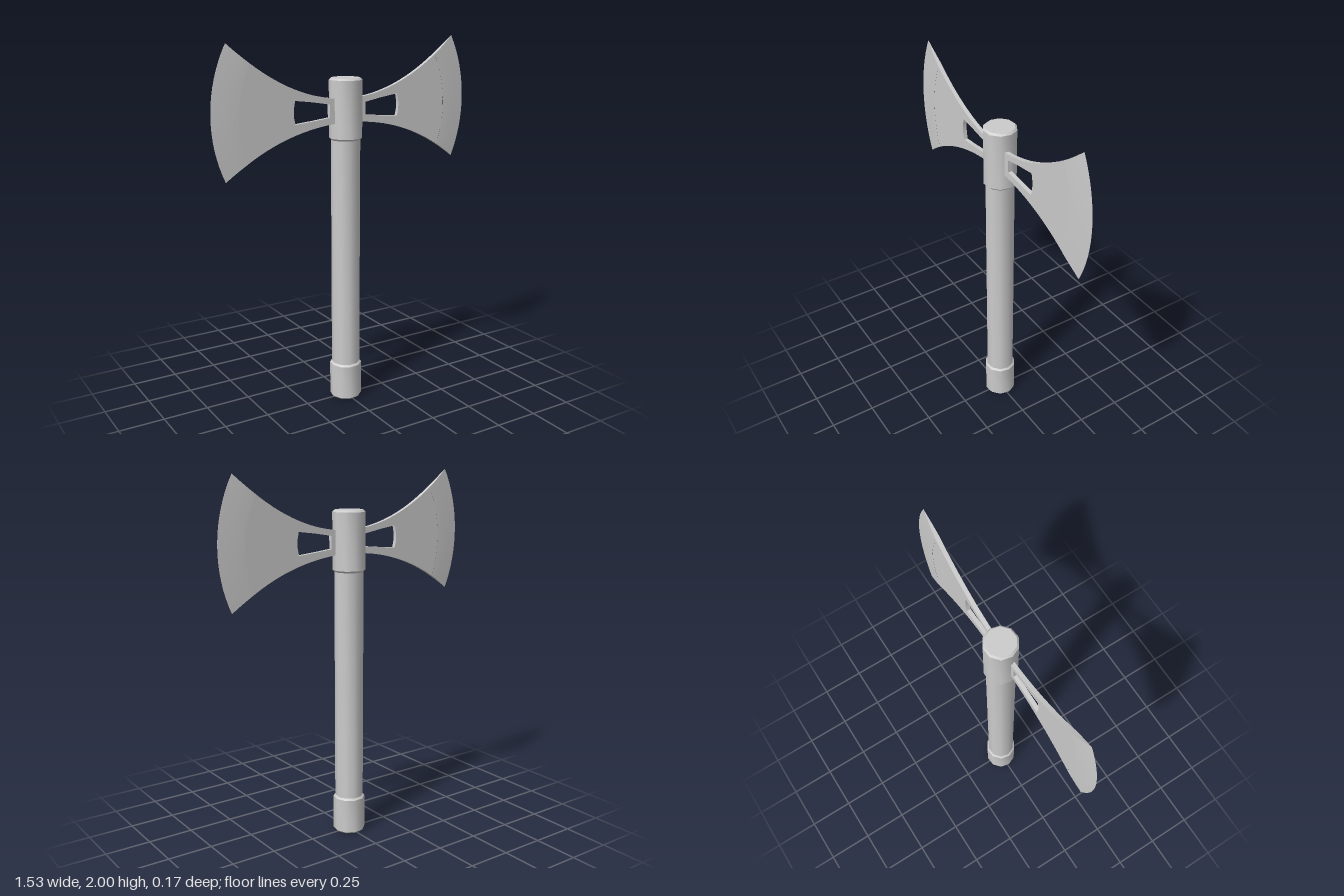
import * as THREE from 'three';
import { toCreasedNormals } from 'three/addons/utils/BufferGeometryUtils.js';

const material = new THREE.MeshStandardMaterial({ color: 0xcccccc });
const SIDES = 10;
const HALF = 0.011; // half blade thickness
const HUB_Y = 1.635; // centre height of the cutting arc
const BLEND = 0.8; // where the blade starts to thin towards its edge
const ROWS = 16;

const v2 = (x, y) => new THREE.Vector2(x, y);
const topCurve = new THREE.QuadraticBezierCurve(v2(0.07, 1.7), v2(0.38, 1.73), v2(0.677, 2));
const bottomCurve = new THREE.QuadraticBezierCurve(v2(0.07, 1.57), v2(0.42, 1.545), v2(0.7, 1.325));

function addMesh(parent, name, geometry) {
  const mesh = new THREE.Mesh(geometry, material);
  mesh.name = name;
  parent.add(mesh);
  return mesh;
}

// Closed round section with chamfered ends
function turned(radius, y0, y1, chamfer) {
  const profile = [
    v2(0, y0), v2(radius - chamfer, y0), v2(radius, y0 + chamfer),
    v2(radius, y1 - chamfer), v2(radius - chamfer, y1), v2(0, y1),
  ];
  return toCreasedNormals(new THREE.LatheGeometry(profile, SIDES), 0.7);
}

// Arc of points from the lower to the upper outline at curve parameter t
function arcAt(t) {
  const [low, high] = [bottomCurve, topCurve].map((curve) => {
    const p = curve.getPoint(t);
    return { r: Math.hypot(p.x, p.y - HUB_Y), a: Math.atan2(p.y - HUB_Y, p.x) };
  });
  return Array.from({ length: ROWS + 1 }, (_, j) => {
    const k = j / ROWS;
    const r = THREE.MathUtils.lerp(low.r, high.r, k);
    const a = THREE.MathUtils.lerp(low.a, high.a, k);
    return v2(r * Math.cos(a), HUB_Y + r * Math.sin(a));
  });
}

// Flat inner part of the blade with its window
function bladeBody() {
  const lower = [], upper = [];
  for (let i = 0; i < 14; i++) {
    const t = (BLEND * i) / 14;
    lower.push(bottomCurve.getPoint(t));
    upper.unshift(topCurve.getPoint(t));
  }
  const shape = new THREE.Shape([...lower, ...arcAt(BLEND), ...upper]);
  shape.holes.push(new THREE.Path([
    v2(0.11, 1.603), v2(0.11, 1.672), v2(0.21, 1.69), v2(0.312, 1.704),
    v2(0.319, 1.67), v2(0.321, 1.645), v2(0.319, 1.615), v2(0.312, 1.583), v2(0.21, 1.592),
  ]));
  const geometry = new THREE.ExtrudeGeometry(shape, { depth: 2 * HALF, bevelEnabled: false });
  geometry.translate(0, 0, -HALF);
  return toCreasedNormals(geometry, 0.5);
}

// Outer part, lofted from closed sections that thin to a sharp edge
function bladeEdge() {
  const steps = 6;
  const ring = 2 * (ROWS + 1);
  const positions = [], indices = [];
  for (let i = 0; i <= steps; i++) {
    const s = i / steps;
    const points = arcAt(THREE.MathUtils.lerp(BLEND, 1, s));
    const h = HALF * (1 - Math.pow(s, 1.4)) + 0.0004;
    points.forEach((p) => positions.push(p.x, p.y, h));
    points.reverse().forEach((p) => positions.push(p.x, p.y, -h));
  }
  for (let i = 0; i < steps; i++) {
    for (let j = 0; j < ring; j++) {
      const k = (j + 1) % ring;
      const a = i * ring + j, b = a + ring;
      const d = i * ring + k, c = d + ring;
      indices.push(a, b, c, a, c, d);
    }
  }
  // Close the thin outer rim
  const last = steps * ring;
  for (let j = 0; j < ROWS; j++) {
    const a = last + j, d = last + ring - 1 - j;
    indices.push(a, d, d - 1, a, d - 1, a + 1);
  }
  const geometry = new THREE.BufferGeometry();
  geometry.setAttribute('position', new THREE.Float32BufferAttribute(positions, 3));
  geometry.setIndex(indices);
  return toCreasedNormals(geometry, 0.5);
}

export function createModel() {
  const model = new THREE.Group();
  model.name = 'doubleAxe';

  // Haft with its two collars
  const haft = new THREE.Group();
  haft.name = 'haft';
  haft.rotation.y = THREE.MathUtils.degToRad(-13);
  addMesh(haft, 'shaft', turned(0.078, 0.1, 1.6, 0.005));
  addMesh(haft, 'headCollar', turned(0.088, 1.478, 1.803, 0.01));
  addMesh(haft, 'pommel', turned(0.088, 0, 0.21, 0.01));
  model.add(haft);

  // Matching blades on either side
  const body = bladeBody();
  const edge = bladeEdge();
  for (const [name, turn] of [['leftBlade', 0], ['rightBlade', Math.PI]]) {
    const blade = new THREE.Group();
    blade.name = name;
    blade.rotation.y = turn;
    blade.position.z = 0.013;
    addMesh(blade, 'bladeBody', body);
    addMesh(blade, 'cuttingEdge', edge);
    model.add(blade);
  }
  return model;
}
